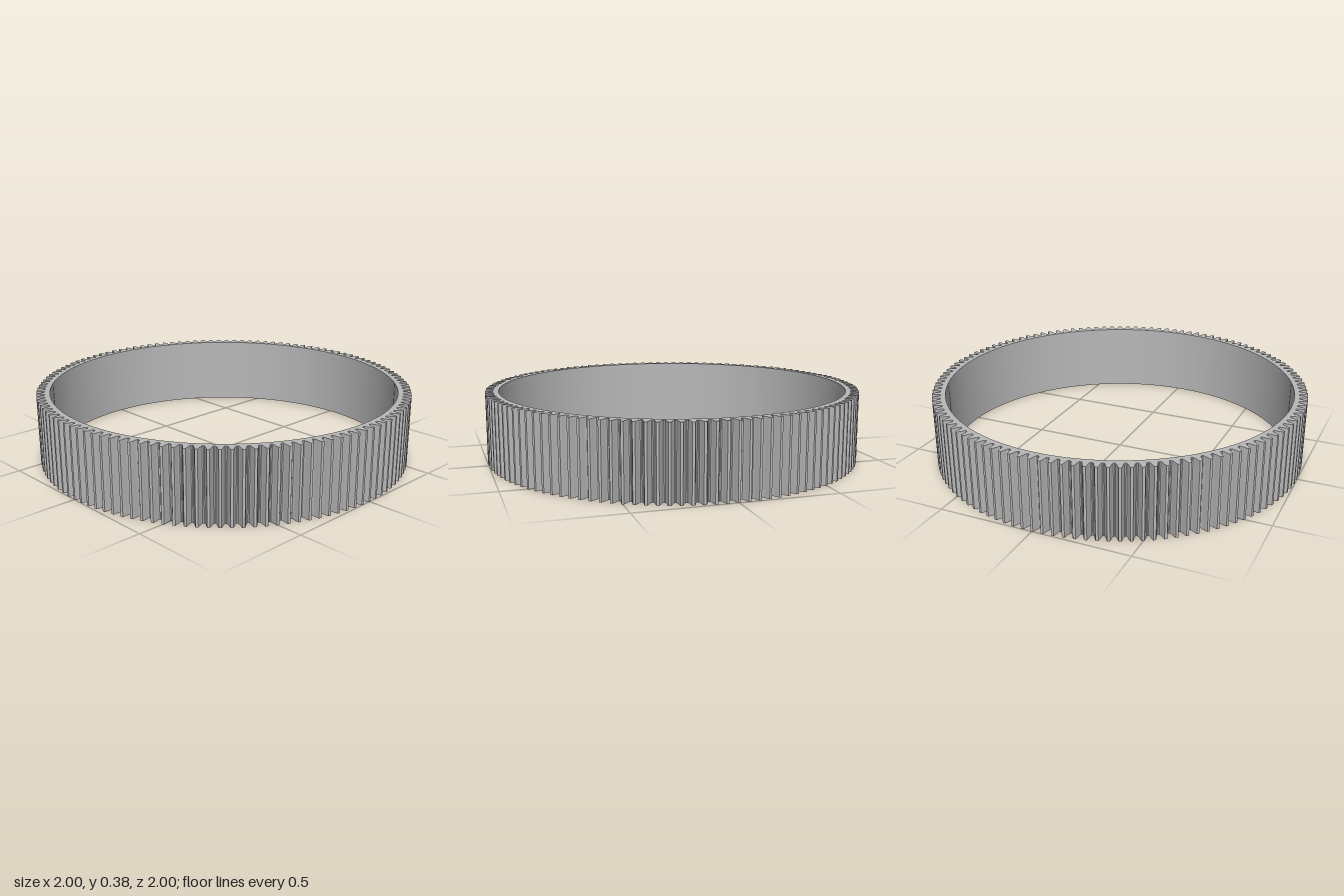
import * as THREE from 'three';
import { toCreasedNormals } from 'three/addons/utils/BufferGeometryUtils.js';

const TEETH = 120;
const HEIGHT = 0.375;
const BORE_RADIUS = 0.93;

// Half of one tooth, from root middle to tip: [fraction of pitch, radius]
const FLANK = [[0.5, 0.955], [0.4, 0.957], [0.32, 0.964], [0.26, 0.976], [0.2, 0.988], [0.12, 1]];

export function createModel() {
  const group = new THREE.Group();
  group.name = 'ringGear';

  const steel = new THREE.MeshStandardMaterial({ color: 0xb8b8b8 });
  steel.name = 'grey steel';

  // Toothed outline: each tooth is its flank mirrored about the tooth centre
  const tooth = [
    ...FLANK.map(([f, r]) => [-f, r]),
    ...FLANK.slice(1).reverse(),
  ];
  const points = [];
  for (let i = 0; i < TEETH; i++) {
    for (const [f, r] of tooth) {
      const a = ((i + f) / TEETH) * Math.PI * 2;
      points.push(new THREE.Vector2(Math.cos(a) * r, Math.sin(a) * r));
    }
  }
  const outline = new THREE.Shape(points);

  // Round bore
  outline.holes.push(new THREE.Path().absarc(0, 0, BORE_RADIUS, 0, Math.PI * 2, true));

  // Extrude upwards, smooth bore and crisp teeth
  const geometry = new THREE.ExtrudeGeometry(outline, {
    depth: HEIGHT, bevelEnabled: false, curveSegments: 90,
  });
  geometry.rotateX(-Math.PI / 2);

  const ring = new THREE.Mesh(toCreasedNormals(geometry, 0.3), steel);
  ring.name = 'toothedRing';
  group.add(ring);
  return group;
}
